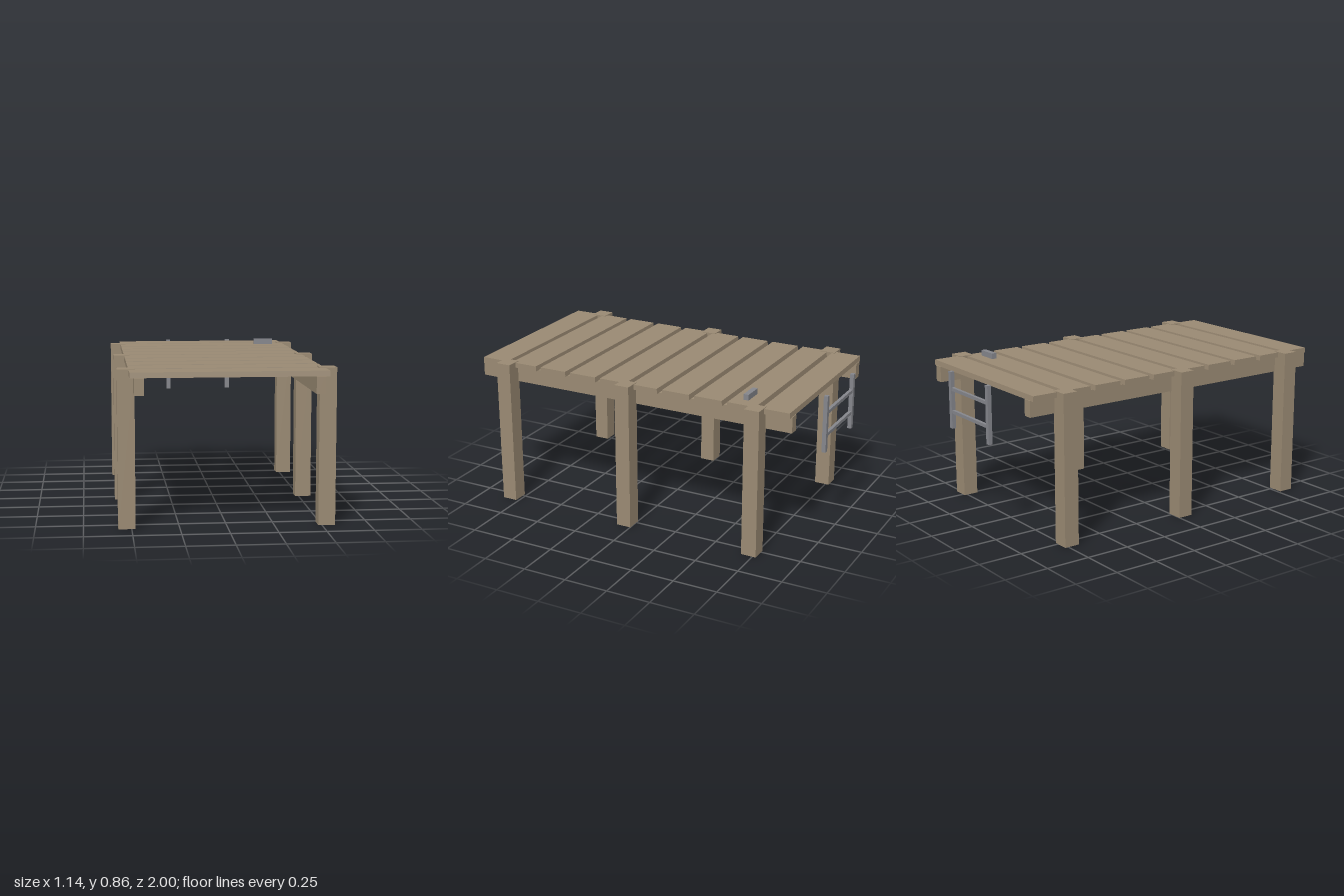
import * as THREE from 'three';

const wood = new THREE.MeshStandardMaterial({ color: 0x9a8a73 });
const metal = new THREE.MeshStandardMaterial({ color: 0x85868c });

// Box given by its min and max on each axis
function box(name, material, [x0, x1], [y0, y1], [z0, z1]) {
  const mesh = new THREE.Mesh(new THREE.BoxGeometry(x1 - x0, y1 - y0, z1 - z0), material);
  mesh.position.set((x0 + x1) / 2, (y0 + y1) / 2, (z0 + z1) / 2);
  mesh.name = name;
  return mesh;
}

// Same box on both sides of x = 0
function pair(group, name, material, [x0, x1], y, z) {
  group.add(box(name + 'Left', material, [x0, x1], y, z));
  group.add(box(name + 'Right', material, [-x1, -x0], y, z));
}

export function createModel() {
  const dock = new THREE.Group();
  dock.name = 'dock';

  // Deck planks, their long sides leaning in slightly towards the top
  const planks = new THREE.Group();
  planks.name = 'deckPlanks';
  for (let i = 0; i < 10; i++) {
    const z = -0.833 + i * 0.1928;
    const plank = box('plank', wood, [-0.51, 0.51], [0.802, 0.831], [z - 0.083, z + 0.083]);
    const p = plank.geometry.attributes.position;
    for (let k = 0; k < p.count; k++) {
      if (p.getY(k) > 0) p.setZ(k, p.getZ(k) - Math.sign(p.getZ(k)) * 0.003);
    }
    plank.geometry.computeVertexNormals();
    planks.add(plank);
  }
  dock.add(planks);

  // Long beams under the deck
  pair(dock, 'beam', wood, [0.437, 0.487], [0.714, 0.803], [-0.92, 1.0]);

  // Three pairs of posts
  for (const z of [-0.727, 0.042, 0.809]) {
    pair(dock, 'post', wood, [0.48, 0.57], [0, 0.834], [z - 0.043, z + 0.043]);
  }

  // Ladder off the back end
  const ladder = new THREE.Group();
  ladder.name = 'ladder';
  pair(ladder, 'rail', metal, [0.18, 0.205], [0.515, 0.835], [-1.0, -0.977]);
  for (const y of [0.611, 0.739]) {
    ladder.add(box('rung', metal, [-0.181, 0.181], [y - 0.009, y + 0.009], [-0.998, -0.98]));
  }
  dock.add(ladder);

  // Mooring cleat
  dock.add(box('cleat', metal, [0.326, 0.44], [0.829, 0.863], [-0.65, -0.621]));

  return dock;
}
